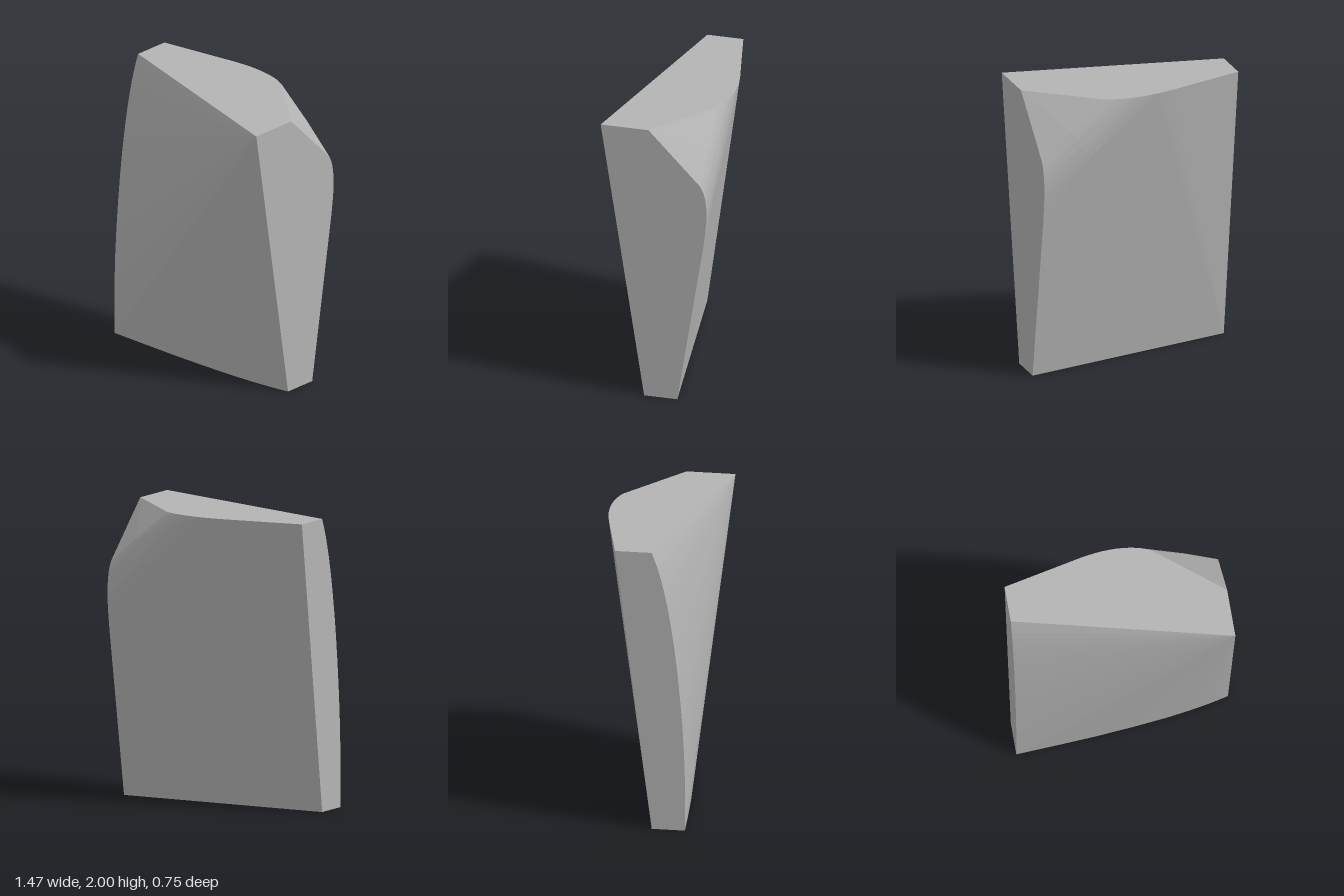
import * as THREE from 'three';
import { ConvexGeometry } from 'three/addons/geometries/ConvexGeometry.js';

const W = 0.735; // half width
const H = 2;     // height

// Smooth curve through a few points, sampled evenly
function curve(points, n) {
  return new THREE.CatmullRomCurve3(points.map(p => new THREE.Vector3(...p)), false, 'centripetal').getPoints(n);
}

export function createModel() {
  const group = new THREE.Group();
  group.name = 'wedgeBlock';
  const stone = new THREE.MeshStandardMaterial({ color: 0xb4b4b4 });
  stone.name = 'plain grey';

  // Plain corners: front apex, chamfer tip, lower back edge, upper back corner
  const corners = [
    [W, H, 0.372], [W, H, 0.04], [W, 0, -0.16], [-W, 0, 0.02], [-W, H, -0.23],
  ].map(p => new THREE.Vector3(...p));

  // Bowed edges of the front face: its side edge and its bottom edge
  const frontSide = curve([
    [-W, 2, 0.02], [-W, 1.87, 0.066], [-W, 1.67, 0.115], [-W, 1.44, 0.155],
    [-W, 1.16, 0.192], [-W, 0.68, 0.233], [-W, 0.3, 0.246], [-W, 0, 0.245],
  ], 16);
  const frontBottom = curve([
    [-W, 0, 0.245], [-0.2, 0, 0.208], [0.3, 0, 0.155], [0.6, 0, 0.103], [W, 0, 0.07],
  ], 8);

  // Rounded shoulder between the back face and the corner chamfer:
  // along the top, through the middle, and down the side
  const shoulderTop = curve([
    [-0.2, H, -0.35], [-0.1, H, -0.367], [0, H, -0.375], [0.1, H, -0.372],
    [0.2, H, -0.355], [0.28, H, -0.325],
  ], 10);
  const shoulderMiddle = curve([
    [0.4, 1.62, -0.374], [0.45, 1.69, -0.375], [0.5, 1.77, -0.352], [0.525, 1.8, -0.328],
  ], 5);
  const shoulderSide = curve([
    [W, 1.18, -0.343], [W, 1.28, -0.355], [W, 1.4, -0.364], [W, 1.5, -0.358],
    [W, 1.57, -0.343], [W, 1.62, -0.32],
  ], 10);

  // The solid is the tight skin around these edges
  const block = new THREE.Mesh(new ConvexGeometry([
    ...corners, ...frontSide, ...frontBottom, ...shoulderTop, ...shoulderMiddle, ...shoulderSide,
  ]), stone);
  block.name = 'block';
  group.add(block);
  return group;
}
